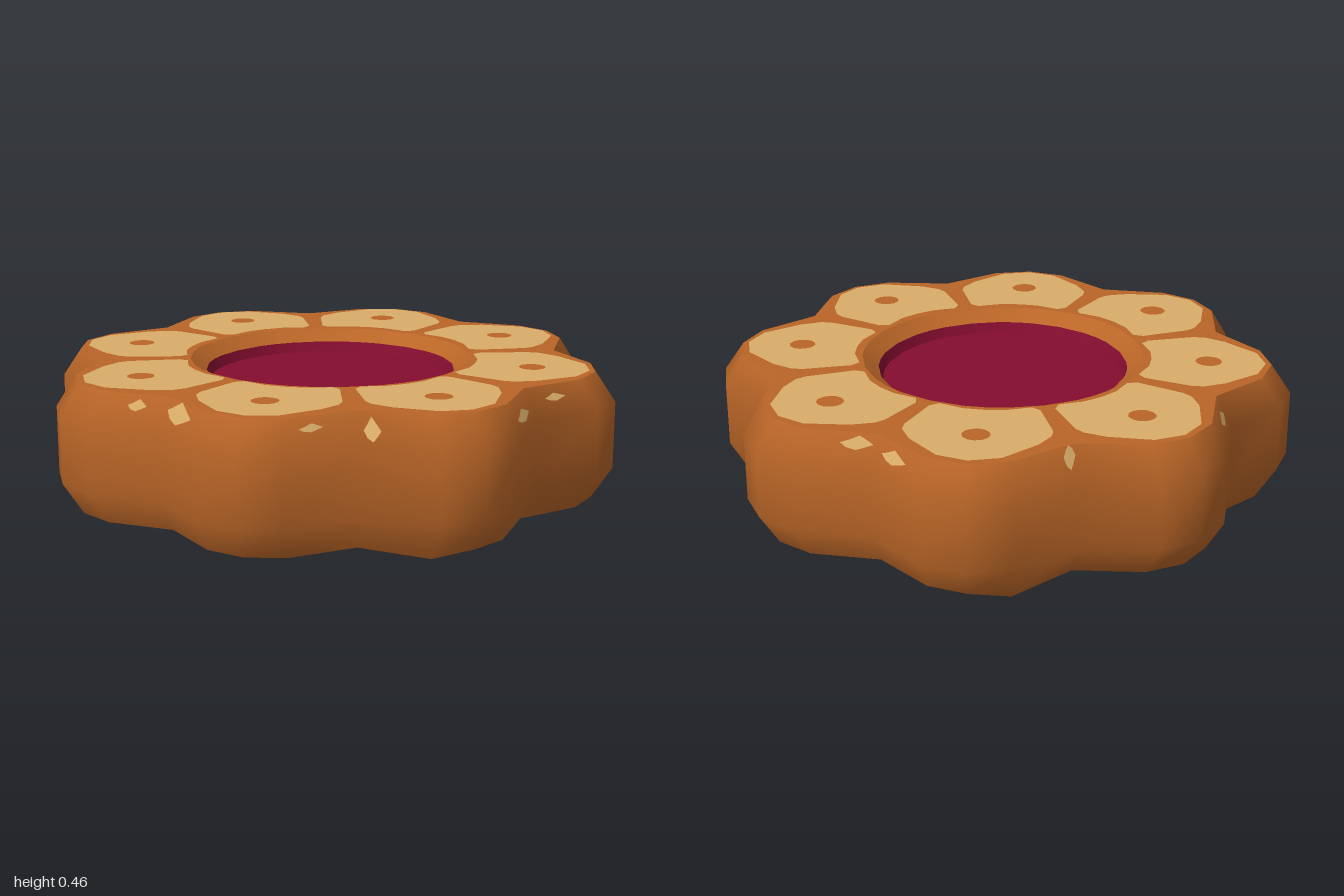
import * as THREE from 'three';

const biscuit = new THREE.MeshStandardMaterial({ color: 0xb96527 });
biscuit.name = 'baked brown';
const icing = new THREE.MeshStandardMaterial({ color: 0xd9ad69 });
icing.name = 'pale tan';
const jam = new THREE.MeshStandardMaterial({ color: 0x840d2f });
jam.name = 'dark red jam';

const PETALS = 8;
const TOP = 0.46;
const rad = THREE.MathUtils.degToRad;

// Scalloped outline: four corners per petal, angle measured from +z towards +x
const outline = [];
for (let k = 0; k < PETALS; k++) {
  for (const [a, r] of [[0, 1], [8.4, 0.972], [22.5, 0.862], [36.6, 0.972]]) {
    outline.push({ a: rad(a + k * 45), r });
  }
}
const N = outline.length;

// Each ring is { y, s } (scaled outline) or { y, c } (plain circle)
function ringPoint(ring, i) {
  const { a, r } = outline[i % N];
  const q = ring.c !== undefined ? ring.c : r * ring.s;
  const p = new THREE.Vector3(Math.sin(a) * q, ring.y, Math.cos(a) * q);
  // two slightly sagging corners under the base
  const x = Math.sin(a) * r, z = Math.cos(a) * r;
  if (ring.base && (Math.hypot(x + 0.14, z + 0.96) < 0.06 || Math.hypot(x - 0.58, z - 0.78) < 0.06)) p.y = 0;
  return p;
}

function loft(name, material, rings) {
  const pos = [], index = [];
  rings.forEach((ring, j) => {
    for (let i = 0; i < N; i++) {
      pos.push(...ringPoint(ring, i).toArray());
      if (j === 0) continue;
      const n = (i + 1) % N, lo = (j - 1) * N, hi = j * N;
      if (rings[j - 1].c !== 0) index.push(lo + i, lo + n, hi + n);
      if (ring.c !== 0) index.push(lo + i, hi + n, hi + i);
    }
  });
  const g = new THREE.BufferGeometry();
  g.setAttribute('position', new THREE.Float32BufferAttribute(pos, 3));
  g.setIndex(index);
  g.computeVertexNormals();
  const mesh = new THREE.Mesh(g, material);
  mesh.name = name;
  return mesh;
}

// Radius of the outline at any angle, following its straight edges
function outlineRadius(angle) {
  const full = Math.PI * 2;
  const t = ((angle % full) + full) % full;
  let i = N - 1;
  while (outline[i].a > t) i--;
  const p = outline[i], q = outline[(i + 1) % N];
  const da = ((q.a - p.a) + full) % full;
  return p.r * q.r * Math.sin(da) / (p.r * Math.sin(t - p.a) + q.r * Math.sin(da - (t - p.a)));
}

// Point just above the upper bevel
function bevelPoint(angle, y) {
  const r = outlineRadius(angle) * (1 - 0.07 * (y - 0.36) / 0.1) + 0.006;
  return [Math.sin(angle) * r, y + 0.003, Math.cos(angle) * r];
}

// Small irregular icing spot: centre x, z, y, then half width and half height
function speck([x, z, y, w, h]) {
  const a = Math.atan2(x, z);
  const pos = [...bevelPoint(a, y)], index = [];
  const wobble = [1, 0.75, 1.1, 0.7, 1, 0.85, 0.9, 0.7];
  wobble.forEach((f, i) => {
    const t = i * Math.PI / 4;
    const py = Math.min(y + Math.sin(t) * h * f, TOP);
    pos.push(...bevelPoint(a + Math.cos(t) * w * f, py));
    index.push(0, i + 1, (i + 1) % 8 + 1);
  });
  const g = new THREE.BufferGeometry();
  g.setAttribute('position', new THREE.Float32BufferAttribute(pos, 3));
  g.setIndex(index);
  g.computeVertexNormals();
  const mesh = new THREE.Mesh(g, icing);
  mesh.name = 'icingSpeck';
  return mesh;
}

// Icing panel on one petal, with a round opening showing the biscuit
function petalGeometry() {
  const half = [[0.07, 0.512], [0.15, 0.48], [0.18, 0.5], [0.235, 0.66], [0.235, 0.7], [0.2, 0.77], [0.1, 0.88]];
  const pts = [[0, 0.518], ...half, [0, 0.91], ...half.map(([x, y]) => [-x, y]).reverse()];
  const shape = new THREE.Shape(pts.map(([x, y]) => new THREE.Vector2(x, y)));
  const hole = new THREE.Path();
  hole.absarc(0, 0.715, 0.046, 0, Math.PI * 2, true);
  shape.holes.push(hole);
  return new THREE.ShapeGeometry(shape, 6).rotateX(-Math.PI / 2);
}

export function createModel() {
  const group = new THREE.Group();
  group.name = 'flowerBiscuit';

  // Biscuit body
  const base = { y: 0.02, s: 0.93, base: true };
  group.add(
    loft('biscuitBase', biscuit, [{ y: 0.02, c: 0 }, base]),
    loft('biscuitSide', biscuit, [base, { y: 0.13, s: 1 }, { y: 0.36, s: 1 }, { y: TOP, s: 0.93 }]),
    loft('biscuitTop', biscuit, [{ y: TOP, s: 0.93 }, { y: TOP, c: 0.49 }]),
    loft('innerRim', biscuit, [{ y: TOP, c: 0.49 }, { y: 0.42, c: 0.435 }]),
  );

  // Jam filling
  group.add(
    loft('jamEdge', jam, [{ y: 0.42, c: 0.435 }, { y: 0.385, c: 0.42 }]),
    loft('jamSurface', jam, [{ y: 0.385, c: 0.42 }, { y: 0.385, c: 0 }]),
  );

  // Iced petals
  const panel = petalGeometry();
  for (let k = 0; k < PETALS; k++) {
    const petal = new THREE.Mesh(panel, icing);
    petal.name = 'petalIcing';
    petal.position.y = TOP + 0.003;
    petal.rotation.y = k * Math.PI / 4;
    group.add(petal);
  }

  // Stray icing on the bevel
  const specks = [
    [-0.3, -0.79, 0.43, 0.025, 0.04], [0.25, -0.88, 0.42, 0.06, 0.02], [0.38, -0.79, 0.43, 0.06, 0.02],
    [-0.75, -0.4, 0.42, 0.05, 0.02], [-0.24, 0.82, 0.425, 0.08, 0.033], [0.36, 0.77, 0.405, 0.03, 0.035],
    [-0.4, 0.74, 0.425, 0.035, 0.018], [0.2, 0.88, 0.425, 0.04, 0.012], [0.77, 0.46, 0.405, 0.07, 0.018],
    [0.85, 0.25, 0.42, 0.045, 0.012],
  ];
  specks.forEach((s) => group.add(speck(s)));

  return group;
}
